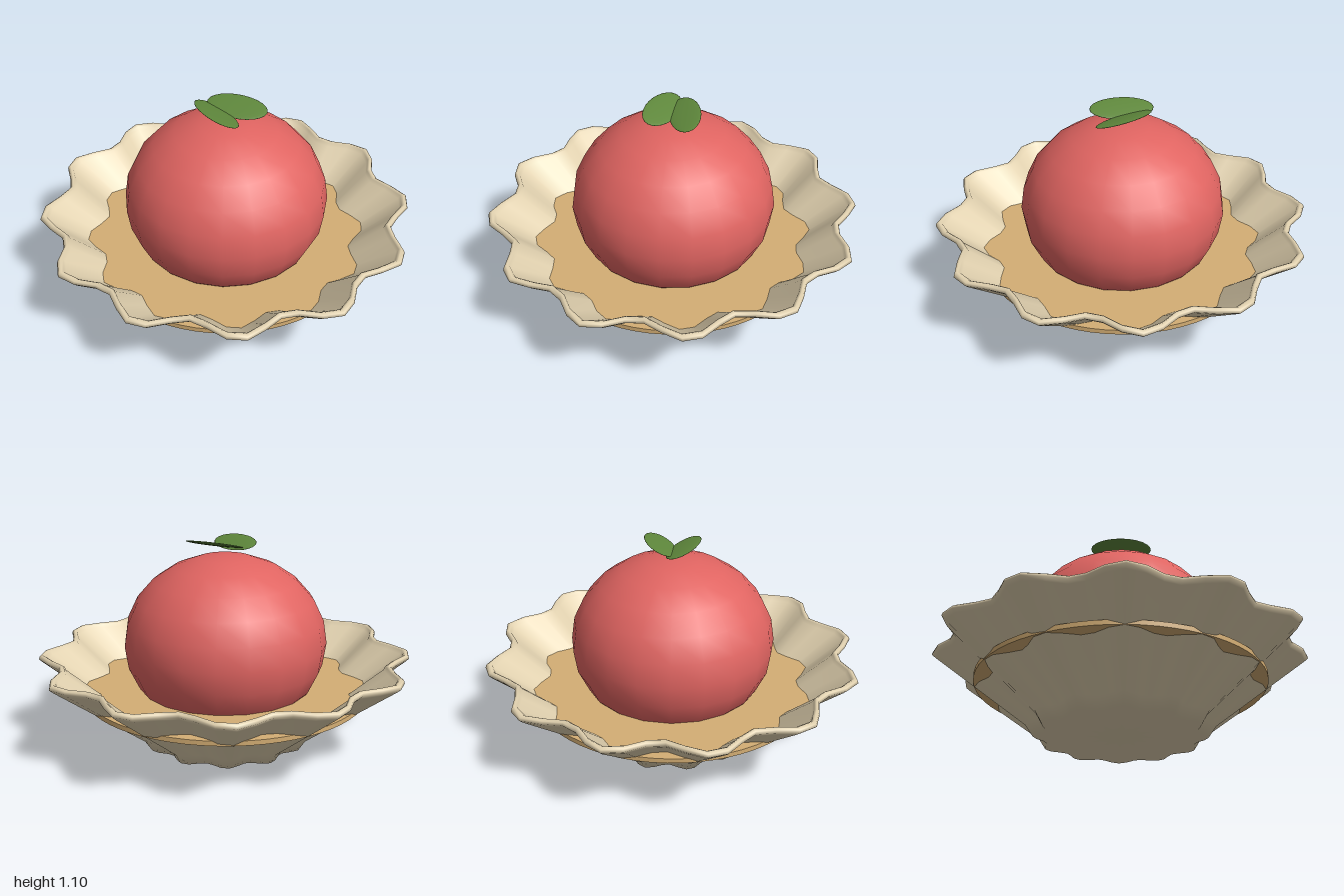
import * as THREE from 'three';
import { mergeVertices } from 'three/addons/utils/BufferGeometryUtils.js';

const mat = (name, color) => {
  const m = new THREE.MeshStandardMaterial({ color });
  m.name = name;
  return m;
};

function addMesh(group, name, geometry, material, x, y, z) {
  const mesh = new THREE.Mesh(geometry, material);
  mesh.name = name;
  mesh.position.set(x, y, z);
  group.add(mesh);
  return mesh;
}

// Lathe whose radius ripples in twelve flutes
function flutedBowl() {
  const profile = [
    [0, 0], [0.45, 0], [0.49, 0.06], [0.98, 0.432], [1, 0.45], [0.995, 0.465],
    [0.98, 0.473], [0.965, 0.465], [0.955, 0.445], [0.49, 0.085], [0.43, 0.045], [0, 0.045],
  ].map(([r, y]) => new THREE.Vector2(r, y));
  const geo = new THREE.LatheGeometry(profile, 64);
  const p = geo.attributes.position;
  for (let i = 0; i < p.count; i++) {
    const x = p.getX(i), z = p.getZ(i);
    const k = 0.942 + 0.058 * Math.cos(12 * Math.atan2(x, z));
    p.setXYZ(i, x * k, p.getY(i), z * k);
  }
  // weld the seam so the shading runs round smoothly
  geo.deleteAttribute('uv');
  geo.deleteAttribute('normal');
  const welded = mergeVertices(geo, 1e-4);
  welded.computeVertexNormals();
  return welded;
}

export function createModel() {
  const group = new THREE.Group();
  group.name = 'fruitTart';
  const crust = mat('crust beige', 0xe2d2b0);
  const cream = mat('filling tan', 0xd4ae74);
  const red = mat('fruit red', 0xe06461);
  const green = mat('leaf green', 0x5f883c);

  // Fluted shell and the filling disc that shows through its valleys
  addMesh(group, 'flutedShell', flutedBowl(), crust, 0, 0, 0);
  addMesh(group, 'filling', new THREE.CylinderGeometry(0.765, 0.765, 0.025, 64), cream, 0, 0.28, 0);

  // Slightly flattened fruit
  const fruit = addMesh(group, 'fruit', new THREE.SphereGeometry(0.54, 20, 12), red, 0, 0.54, 0);
  fruit.scale.y = 0.87;

  // Two thin leaves floating above, tilted apart
  const leafGeo = new THREE.SphereGeometry(1, 24, 12);
  const leaves = [['leafRight', -0.06, 0, -0.3], ['leafLeft', 0.066, 0.55, 0.28]];
  for (const [name, x, turn, tilt] of leaves) {
    const leaf = addMesh(group, name, leafGeo, green, x, 1.07, 0);
    leaf.scale.set(0.082, 0.008, 0.165);
    leaf.rotation.set(0, turn, tilt);
  }
  return group;
}
